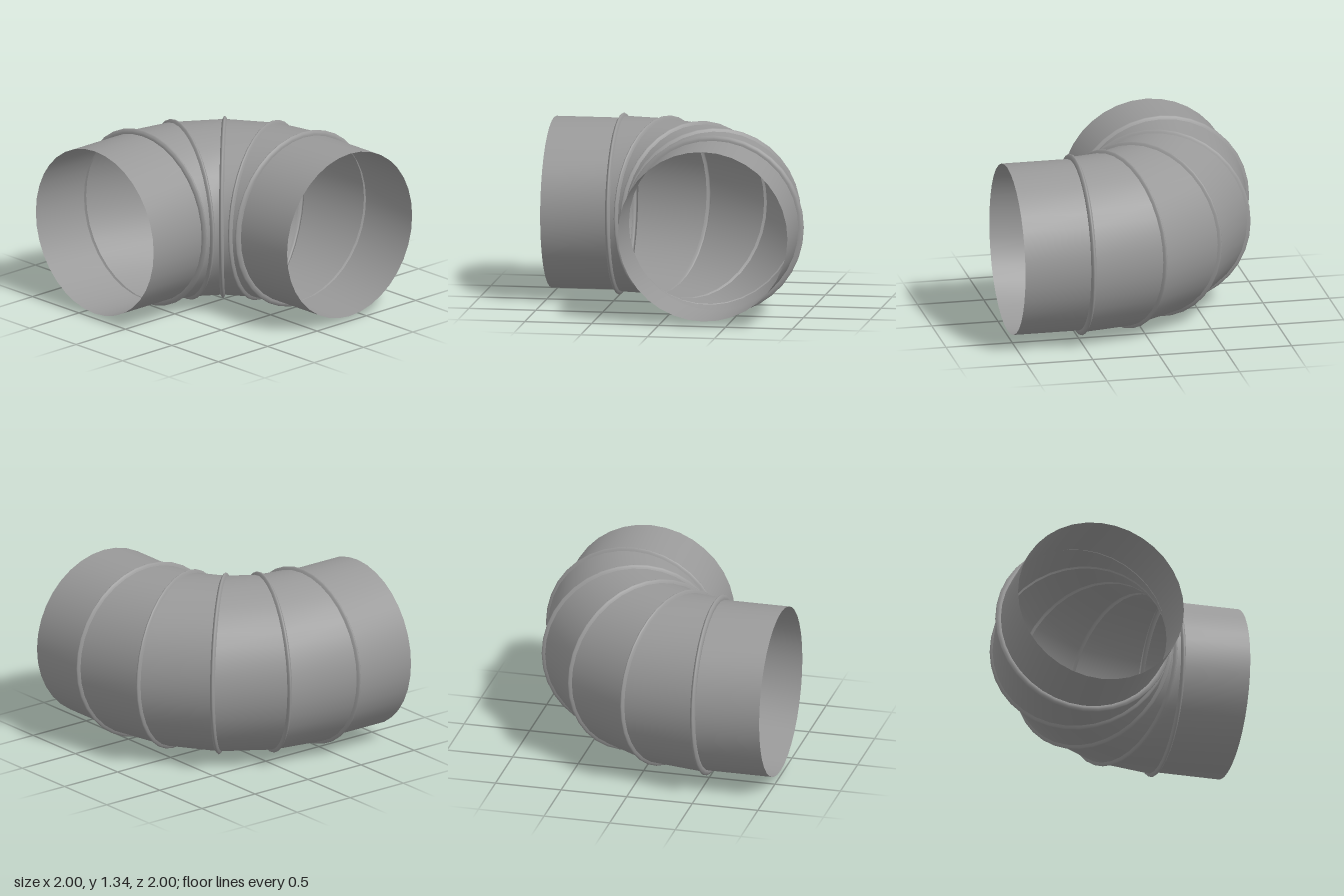
import * as THREE from 'three';

const SIDES = 36;
const JOINTS = 5;                  // beads around the bend
const BEND = { x: 0.49, z: 0.49 }; // centre the elbow turns about
const BEND_R = 0.82;               // bend centre to duct axis
const AXIS_Y = 0.672;
const PIPE_R = 0.634, GORE_R = 0.648;
const BEAD_H = 0.024, BEAD_W = 0.018; // bead height and half width
const BEAD_SHIFT = -0.005;            // beads sit slightly ahead of each joint
const END_LENGTH = 0.51;

// Circular cross-section at a bend angle, slid along the duct axis.
function section(angle, radius, slide) {
  const out = new THREE.Vector3(-Math.cos(angle), 0, -Math.sin(angle));
  const along = new THREE.Vector3(Math.sin(angle), 0, -Math.cos(angle));
  const center = new THREE.Vector3(BEND.x, AXIS_Y, BEND.z)
    .addScaledVector(out, BEND_R).addScaledVector(along, slide);
  const points = [];
  for (let i = 0; i < SIDES; i++) {
    const a = (i / SIDES) * Math.PI * 2;
    const p = center.clone().addScaledVector(out, radius * Math.cos(a));
    p.y += radius * Math.sin(a);
    points.push(p);
  }
  return points;
}

// Open sleeve of sheet metal between two cross-sections.
function sleeve(from, to) {
  const geometry = new THREE.BufferGeometry().setFromPoints([...from, ...to]);
  const index = [];
  for (let i = 0; i < SIDES; i++) {
    const j = (i + 1) % SIDES;
    index.push(i, j, SIDES + i, j, SIDES + j, SIDES + i);
  }
  geometry.setIndex(index);
  geometry.computeVertexNormals();
  return geometry;
}

// Outward bulge rolled into the sheet, stepping in where it meets a pipe.
function beadGeometry(backR, frontR) {
  const profile = [];
  if (backR < GORE_R) profile.push(new THREE.Vector2(backR, -BEAD_W));
  for (let i = 0; i <= 8; i++) {
    const u = i / 8;
    profile.push(new THREE.Vector2(GORE_R + BEAD_H * Math.sin(Math.PI * u), BEAD_W * (2 * u - 1)));
  }
  if (frontR < GORE_R) profile.push(new THREE.Vector2(frontR, BEAD_W));
  return new THREE.LatheGeometry(profile, SIDES).rotateX(Math.PI / 2);
}

export function createModel() {
  const group = new THREE.Group();
  group.name = 'ductElbow';
  const metal = new THREE.MeshStandardMaterial({ color: 0x999999, side: THREE.DoubleSide });
  const add = (name, geometry) => {
    const mesh = new THREE.Mesh(geometry, metal);
    mesh.name = name;
    group.add(mesh);
    return mesh;
  };
  const step = Math.PI / 2 / (JOINTS - 1);
  const last = Math.PI / 2;
  const before = BEAD_SHIFT - BEAD_W, after = BEAD_SHIFT + BEAD_W;

  // Straight end pipes
  add('frontPipe', sleeve(section(0, PIPE_R, -END_LENGTH), section(0, PIPE_R, before)));
  add('sidePipe', sleeve(section(last, PIPE_R, after), section(last, PIPE_R, END_LENGTH)));

  // Wedge-shaped bend segments
  for (let i = 0; i < JOINTS - 1; i++) {
    add(`bendSegment${i + 1}`,
      sleeve(section(i * step, GORE_R, after), section((i + 1) * step, GORE_R, before)));
  }

  // Rounded seam beads at every joint
  for (let i = 0; i < JOINTS; i++) {
    const angle = i * step;
    const geometry = beadGeometry(i === JOINTS - 1 ? PIPE_R : GORE_R, i === 0 ? PIPE_R : GORE_R);
    const mesh = add(`seamBead${i + 1}`, geometry);
    mesh.position.set(BEND.x - BEND_R * Math.cos(angle), AXIS_Y, BEND.z - BEND_R * Math.sin(angle));
    mesh.rotation.y = -angle;
    mesh.translateZ(-BEAD_SHIFT);
  }
  return group;
}
